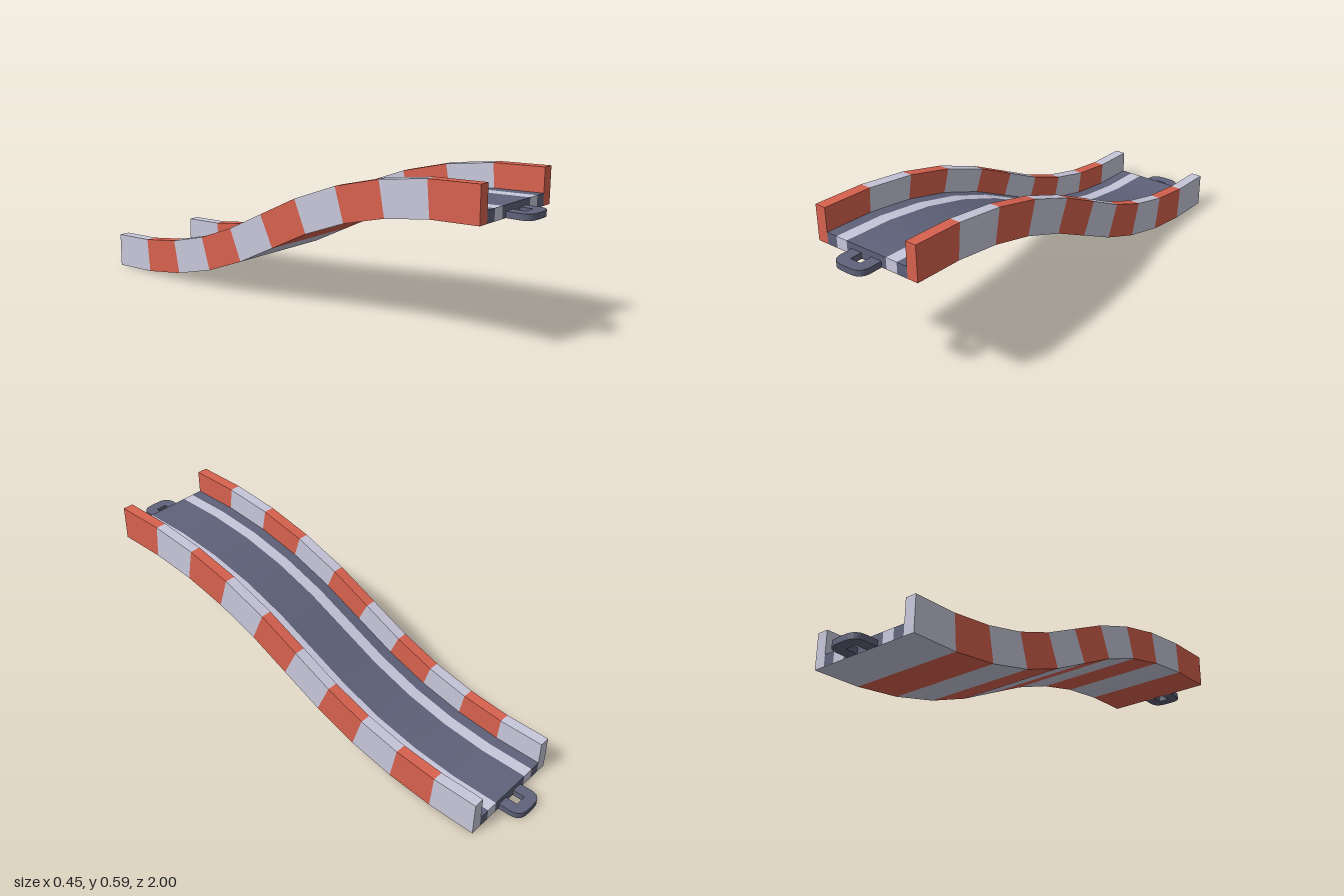
import * as THREE from 'three';

const red = new THREE.MeshStandardMaterial({ color: 0xd9624f });
const white = new THREE.MeshStandardMaterial({ color: 0xc8c8dc });
const asphalt = new THREE.MeshStandardMaterial({ color: 0x5f627a });
red.name = 'barrierRed';
white.name = 'stripeWhite';
asphalt.name = 'asphalt';

// Underside of the track as [z, y], from the high front end to the low back end
const path = [
  [0.907, 0.455], [0.713, 0.448], [0.527, 0.423], [0.347, 0.378], [0.168, 0.311], [0, 0.229],
  [-0.17, 0.146], [-0.347, 0.079], [-0.53, 0.033], [-0.715, 0.008], [-0.907, 0.001],
];
const last = path.length - 1;

// Normal of the path at each station; the two ends are level
const normals = path.map((p, i) => {
  if (i === 0 || i === last) return new THREE.Vector3(0, 1, 0);
  const [z0, y0] = path[i - 1], [z1, y1] = path[i + 1];
  return new THREE.Vector3(0, z0 - z1, y1 - y0).normalize();
});
const at = (x, h, i) => new THREE.Vector3(x, path[i][1], path[i][0]).addScaledVector(normals[i], h);

// Rectangular bar swept along the path from station i0 to i1, smooth lengthwise with sharp edges
function sweep(x0, x1, h0, h1, i0 = 0, i1 = last) {
  const pos = [], nor = [], index = [];
  const quad = (corners, ns) => {
    const k = pos.length / 3;
    corners.forEach((c, j) => {
      pos.push(...c.toArray());
      nor.push(...ns[j].toArray());
    });
    index.push(k, k + 1, k + 2, k, k + 2, k + 3);
  };
  const same = (x, y, z) => Array(4).fill(new THREE.Vector3(x, y, z));
  for (let i = i0; i < i1; i++) {
    const j = i + 1, n = normals[i], m = normals[j];
    const nd = n.clone().negate(), md = m.clone().negate();
    quad([at(x0, h1, i), at(x1, h1, i), at(x1, h1, j), at(x0, h1, j)], [n, n, m, m]);
    quad([at(x0, h0, j), at(x1, h0, j), at(x1, h0, i), at(x0, h0, i)], [md, md, nd, nd]);
    quad([at(x1, h0, i), at(x1, h0, j), at(x1, h1, j), at(x1, h1, i)], same(1, 0, 0));
    quad([at(x0, h0, j), at(x0, h0, i), at(x0, h1, i), at(x0, h1, j)], same(-1, 0, 0));
  }
  // End caps, only where the bar is exposed
  if (i0 === 0) quad([at(x0, h0, 0), at(x1, h0, 0), at(x1, h1, 0), at(x0, h1, 0)], same(0, 0, 1));
  if (i1 === last) {
    quad([at(x1, h0, last), at(x0, h0, last), at(x0, h1, last), at(x1, h1, last)], same(0, 0, -1));
  }
  const g = new THREE.BufferGeometry();
  g.setAttribute('position', new THREE.Float32BufferAttribute(pos, 3));
  g.setAttribute('normal', new THREE.Float32BufferAttribute(nor, 3));
  g.setIndex(index);
  return g;
}

// Flat U-shaped link plate reaching 0.093 out from the end of the track
function linkGeometry() {
  const s = new THREE.Shape();
  s.moveTo(-0.068, 0);
  s.lineTo(-0.068, 0.05);
  s.quadraticCurveTo(-0.066, 0.087, -0.03, 0.092);
  s.lineTo(0, 0.093);
  s.lineTo(0.03, 0.092);
  s.quadraticCurveTo(0.066, 0.087, 0.068, 0.05);
  s.lineTo(0.068, 0);
  s.lineTo(0.023, 0);
  s.lineTo(0.023, 0.048);
  s.lineTo(-0.023, 0.048);
  s.lineTo(-0.023, 0);
  const g = new THREE.ExtrudeGeometry(s, { depth: 0.023, bevelEnabled: false, curveSegments: 6 });
  return g.rotateX(-Math.PI / 2); // outward is now -z
}

export function createModel() {
  const group = new THREE.Group();
  const add = (name, geometry, material) => {
    const mesh = new THREE.Mesh(geometry, material);
    mesh.name = name;
    group.add(mesh);
    return mesh;
  };
  const outer = 0.227, inner = 0.183, base = 0.001, road = 0.045, top = 0.137;

  // Road: central lane, white lines and dark shoulders
  add('lane', sweep(-0.09, 0.09, base, road), asphalt);
  for (const [side, s] of [['left', 1], ['right', -1]]) {
    const strip = (a, b) => sweep(Math.min(a * s, b * s), Math.max(a * s, b * s), base, road);
    add(side + 'Line', strip(0.09, 0.138), white);
    add(side + 'Shoulder', strip(0.138, inner), asphalt);
  }

  // Alternating barrier blocks with the matching underside panels
  for (let i = 0; i < last; i++) {
    const material = i % 2 ? white : red;
    add('leftBarrier', sweep(inner, outer, 0, top, i, i + 1), material);
    add('rightBarrier', sweep(-outer, -inner, 0, top, i, i + 1), material);
    add('undersidePanel', sweep(-inner, inner, 0, base, i, i + 1), material);
  }

  // Connecting links at both ends
  const back = add('backLink', linkGeometry(), asphalt);
  back.position.set(0, 0, -0.907);
  const front = add('frontLink', linkGeometry(), asphalt);
  front.rotation.y = Math.PI;
  front.position.set(0, 0.455, 0.907);

  return group;
}
